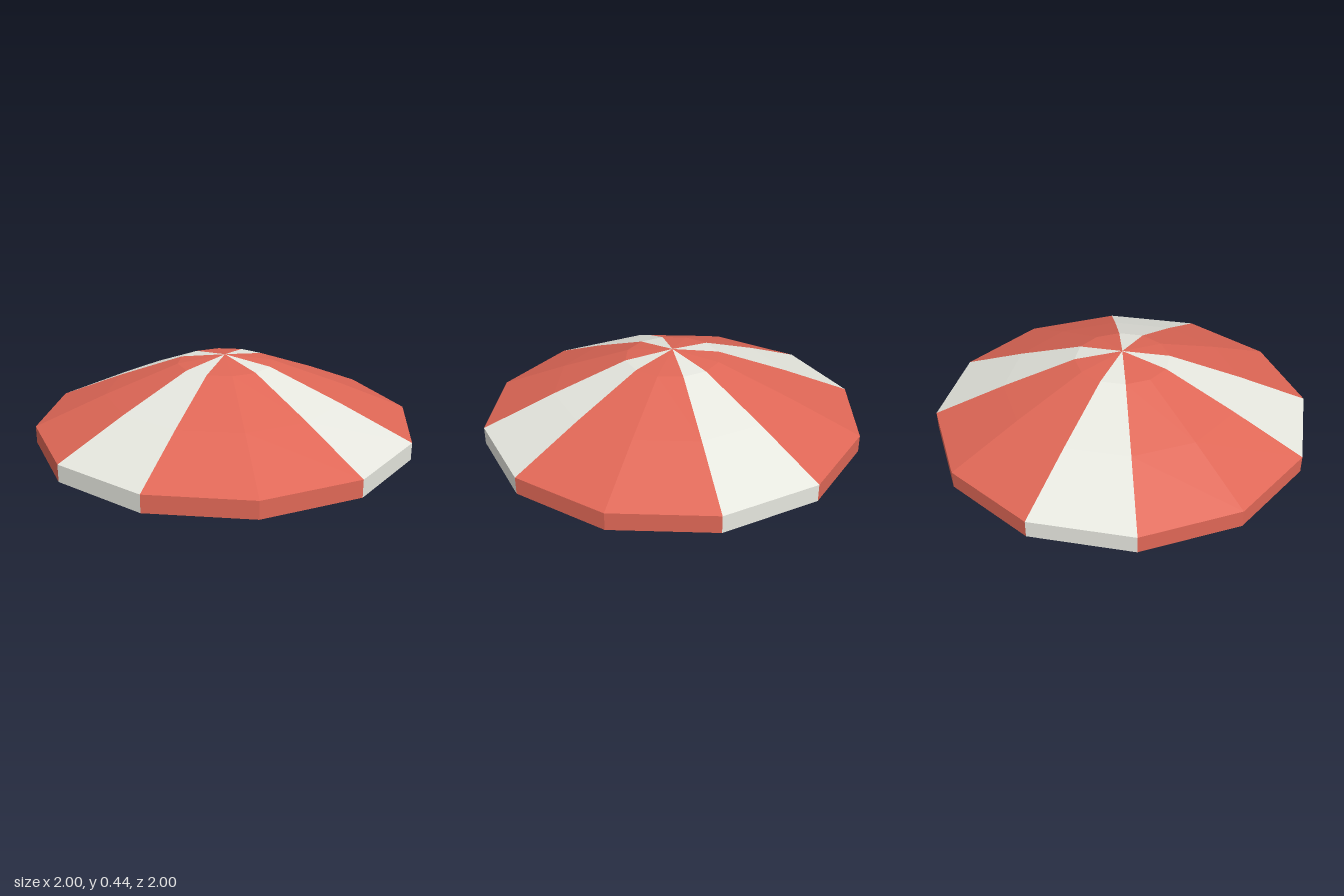
import * as THREE from 'three';

const SIDES = 12;
const STEP = (Math.PI * 2) / SIDES;

// [radius, height] profiles, listed from the bottom up
const VALANCE = [[1, 0], [1, 0.09]];
const CANOPY = [[1, 0.09], [0.63, 0.25], [0.25, 0.4], [0, 0.44]];

// One flat gore of the canopy, spanning a single side of the twelve
function gore(profile, index) {
  const points = profile.map(([r, y]) => new THREE.Vector2(r, y));
  return new THREE.LatheGeometry(points, 1, index * STEP, STEP);
}

export function createModel() {
  const options = { flatShading: true, side: THREE.DoubleSide };
  const red = new THREE.MeshStandardMaterial({ name: 'coral red', color: 0xdf6756, ...options });
  const white = new THREE.MeshStandardMaterial({ name: 'off white', color: 0xe5e6de, ...options });

  const model = new THREE.Group();
  model.name = 'parasolCanopy';

  // Every third gore is white, the rest are red
  for (let i = 0; i < SIDES; i++) {
    const material = i % 3 === 0 ? white : red;
    const panel = new THREE.Mesh(gore(CANOPY, i), material);
    panel.name = `canopyPanel${i + 1}`;
    const flap = new THREE.Mesh(gore(VALANCE, i), material);
    flap.name = `valanceFlap${i + 1}`;
    model.add(panel, flap);
  }
  return model;
}
